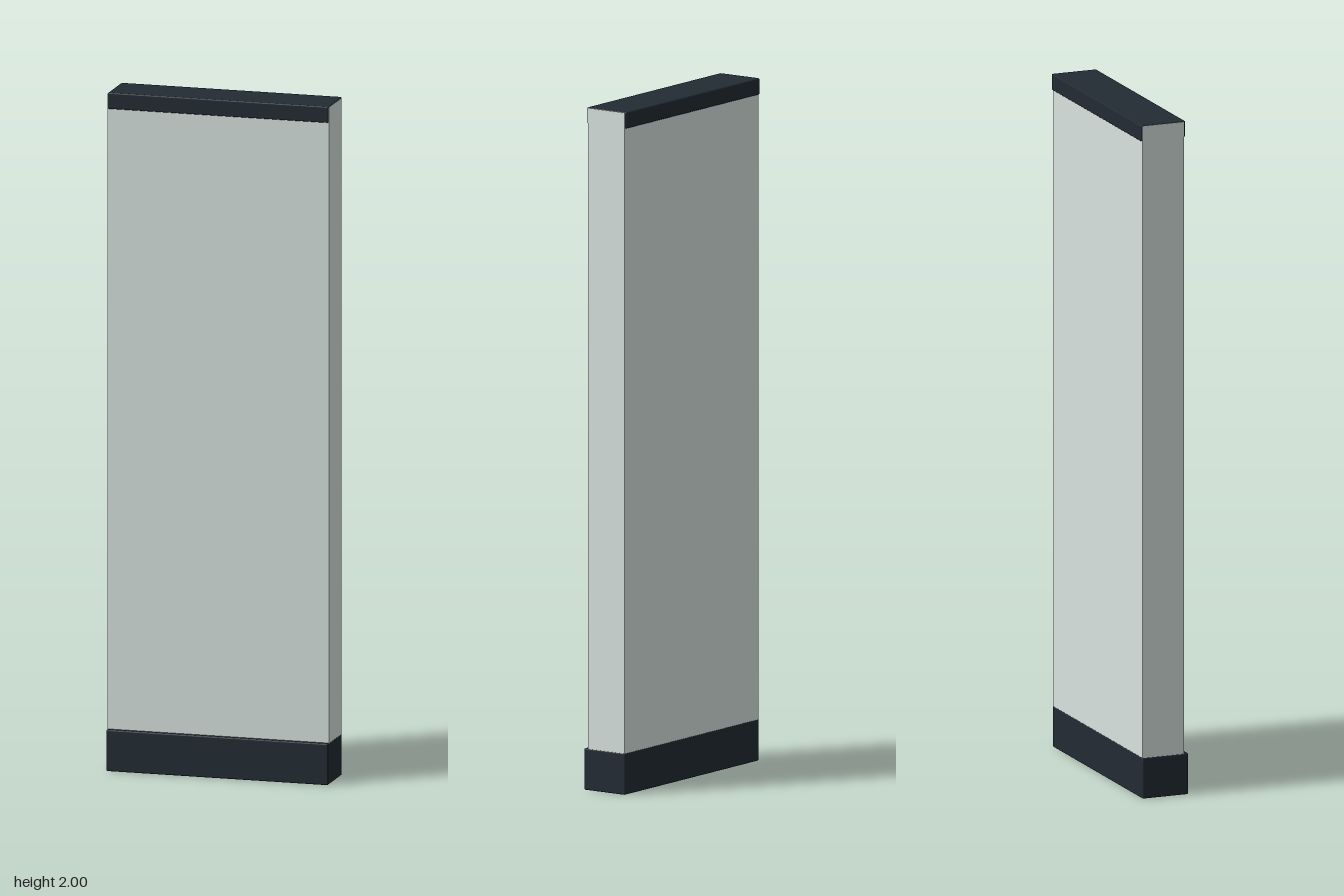
import * as THREE from 'three';
import { RoundedBoxGeometry } from 'three/addons/geometries/RoundedBoxGeometry.js';

const PANEL = 0xd8e2de;
const TRIM = 0x222b33;

// Block given by its half width, y and z ranges and edge radius
function block(name, color, halfX, [y0, y1], [z0, z1], radius) {
  const size = [2 * halfX, y1 - y0, z1 - z0];
  const geometry = radius
    ? new RoundedBoxGeometry(...size, 3, radius)
    : new THREE.BoxGeometry(...size);
  const mesh = new THREE.Mesh(geometry, new THREE.MeshStandardMaterial({ color }));
  mesh.position.set(0, (y0 + y1) / 2, (z0 + z1) / 2);
  mesh.name = name;
  return mesh;
}

export function createModel() {
  const group = new THREE.Group();
  group.name = 'slab';
  group.add(
    // Plinth, flush with the panel at the back and proud at the front
    block('base', TRIM, 0.333, [0, 0.122], [-0.07, 0.074], 0.004),
    // Tall panel, standing in the plinth
    block('panel', PANEL, 0.332, [0.11, 1.997], [-0.069, 0.06], 0),
    // Cap, proud of the panel at front and back; the panel closes its ends
    block('topCap', TRIM, 0.331, [1.952, 2], [-0.075, 0.065], 0.004)
  );
  return group;
}
